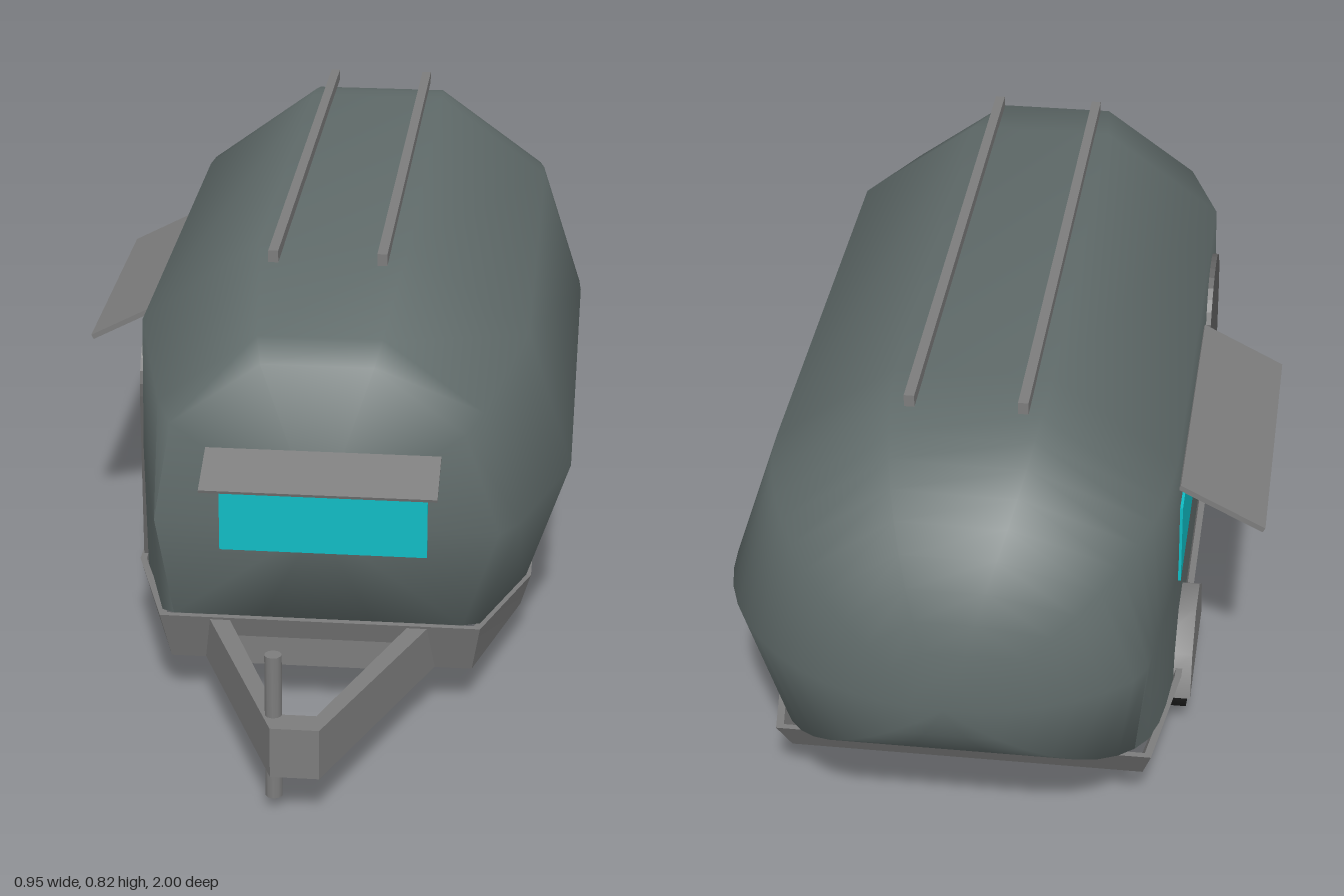
import * as THREE from 'three';
import { toCreasedNormals } from 'three/addons/utils/BufferGeometryUtils.js';

const CX = 0.035; // centre line of the caravan

const mat = (color) => new THREE.MeshStandardMaterial({ color });

// Skin a series of cross-sections, each a closed loop of [x, y, z]
function loft(rings, closed, crease) {
  const n = rings[0].length, index = [];
  const count = closed ? rings.length : rings.length - 1;
  for (let i = 0; i < count; i++) {
    const k = (i + 1) % rings.length;
    for (let j = 0; j < n; j++) {
      const m = (j + 1) % n;
      const a = i * n + j, b = i * n + m, c = k * n + m, d = k * n + j;
      index.push(a, b, c, a, c, d);
    }
  }
  const g = new THREE.BufferGeometry();
  g.setAttribute('position', new THREE.Float32BufferAttribute(rings.flat(2), 3));
  g.setIndex(index);
  return toCreasedNormals(g, crease);
}

// Ten-sided body section: flat underneath, flattened on the door side
function bodyRing(z, s) {
  const leftLimit = -0.325 + Math.max(0, (-0.56 - z) * 0.1, (z - 0.33) * 0.22);
  const ring = [];
  for (let k = 0; k < 10; k++) {
    const a = (k * Math.PI) / 5;
    const x = CX + 0.44 * s * Math.cos(a);
    const y = 0.385 + s * Math.max(0.44 * Math.sin(a), -0.25);
    ring.push([s > 0 ? Math.max(x, leftLimit) : x, y, z]);
  }
  return ring;
}

export function createModel() {
  const group = new THREE.Group();
  const shell = mat(0x606b6a);
  const grey = mat(0x7c7c7c);
  const dark = mat(0x606060);
  const glass = mat(0x0fbcc4);
  const rubber = mat(0x222222);
  const hubMat = mat(0xcccccc);

  const add = (name, geometry, material, x = 0, y = 0, z = 0) => {
    const mesh = new THREE.Mesh(geometry, material);
    mesh.name = name;
    mesh.position.set(x, y, z);
    group.add(mesh);
    return mesh;
  };
  const box = (name, w, h, d, material, x, y, z) =>
    add(name, new THREE.BoxGeometry(w, h, d), material, x, y, z);

  // Body: rounded rear, straight middle, tapered front
  const rings = [];
  for (let i = 0; i <= 12; i++) {
    const t = (i / 12) * Math.PI / 2;
    rings.push(bodyRing(-0.59 - 0.41 * Math.cos(t), Math.sin(t)));
  }
  rings.push(bodyRing(0.33, 1), bodyRing(0.59, 0.81), bodyRing(0.64, 0.73), bodyRing(0.64, 0));
  add('body', loft(rings, false, 1.3), shell);

  // Chassis frame: a thin flared rail running round the base, drawn in at both ends
  const corners = [ // half width, z and y at the top, then half width and z at the bottom
    { wt: 0.338, zt: -0.8, yt: 0.155, wb: 0.32, zb: -0.755, dz: 0.012 },
    { wt: 0.372, zt: -0.56, yt: 0.155, wb: 0.353, zb: -0.55, dz: 0 },
    { wt: 0.372, zt: 0.33, yt: 0.155, wb: 0.353, zb: 0.31, dz: 0 },
    { wt: 0.29, zt: 0.615, yt: 0.183, wb: 0.275, zb: 0.58, dz: -0.012 },
  ];
  const railSection = (c, side) => [
    [CX + side * c.wb, 0.084, c.zb],
    [CX + side * c.wt, c.yt, c.zt],
    [CX + side * (c.wt - 0.012), c.yt, c.zt + c.dz],
    [CX + side * (c.wb - 0.012), 0.084, c.zb + c.dz],
  ];
  const railRings = [
    ...corners.map((c) => railSection(c, 1)),
    ...[...corners].reverse().map((c) => railSection(c, -1)),
  ];
  add('chassisFrame', loft(railRings, true, 0.1), grey);
  box('floor', 0.66, 0.02, 0.89, dark, CX, 0.138, -0.115);

  // A-shaped drawbar, drawn in plan (x, -z) and extruded upwards
  const poly = (pts, Type = THREE.Shape) =>
    new Type(pts.map(([x, y]) => new THREE.Vector2(x, y)));
  const drawbarPlan = poly([[-0.21, -0.58], [-0.042, -1], [0.042, -1], [0.21, -0.58]]);
  drawbarPlan.holes.push(
    poly([[-0.165, -0.6], [-0.032, -0.95], [0.032, -0.95], [0.165, -0.6]], THREE.Path));
  add('drawbar',
    new THREE.ExtrudeGeometry(drawbarPlan, { depth: 0.093, bevelEnabled: false }).rotateX(-Math.PI / 2),
    grey, 0.033, 0.085, 0);
  add('jackPost', new THREE.CylinderGeometry(0.015, 0.015, 0.27, 10), grey, -0.008, 0.157, 0.95);

  // Wheels and mudguards
  const arch = [];
  for (let k = 0; k <= 5; k++) {
    const a = (k * Math.PI) / 5;
    arch.push([0.14 * Math.cos(a), 0.137 * Math.sin(a)]);
  }
  const guardGeo = toCreasedNormals(
    new THREE.ExtrudeGeometry(poly(arch), { depth: 0.1, bevelEnabled: false })
      .rotateY(Math.PI / 2).translate(-0.05, 0, 0), 0.8);
  const disc = (r, width) =>
    new THREE.CylinderGeometry(r, r, width, 10, 1, false, Math.PI / 2).rotateZ(Math.PI / 2);
  const tyreGeo = disc(0.105, 0.1), hubGeo = disc(0.065, 0.102);
  for (const [side, x] of [['left', 0.38], ['right', -0.292]]) {
    add(side + 'Tyre', tyreGeo, rubber, x, 0.105, -0.415);
    add(side + 'Hub', hubGeo, hubMat, x, 0.105, -0.415);
    add(side + 'Mudguard', guardGeo, grey, x + Math.sign(x) * 0.012, 0.1, -0.415);
  }

  // Roof rails
  for (const x of [-0.065, 0.13]) box('roofRail', 0.018, 0.022, 1.14, grey, x, 0.813, -0.14);

  // Front window and awning
  box('frontWindow', 0.37, 0.157, 0.02, glass, 0.045, 0.413, 0.634);
  box('frontAwning', 0.415, 0.006, 0.105, grey, 0.045, 0.508, 0.688).rotation.x = 0.38;

  // Side window and awning
  box('sideWindow', 0.02, 0.16, 0.5, glass, -0.317, 0.415, -0.26);
  box('sideAwning', 0.172, 0.01, 0.56, grey, -0.398, 0.52, -0.26).rotation.z = 0.477;

  // Round-topped door
  const doorShape = new THREE.Shape();
  doorShape.moveTo(-0.125, 0);
  doorShape.lineTo(0.125, 0);
  doorShape.lineTo(0.125, 0.325);
  doorShape.absarc(0, 0.325, 0.125, 0, Math.PI, false);
  doorShape.closePath();
  add('door',
    new THREE.ExtrudeGeometry(doorShape, { depth: 0.02, bevelEnabled: false, curveSegments: 8 })
      .rotateY(-Math.PI / 2),
    dark, -0.312, 0.158, 0.19);

  return group;
}
